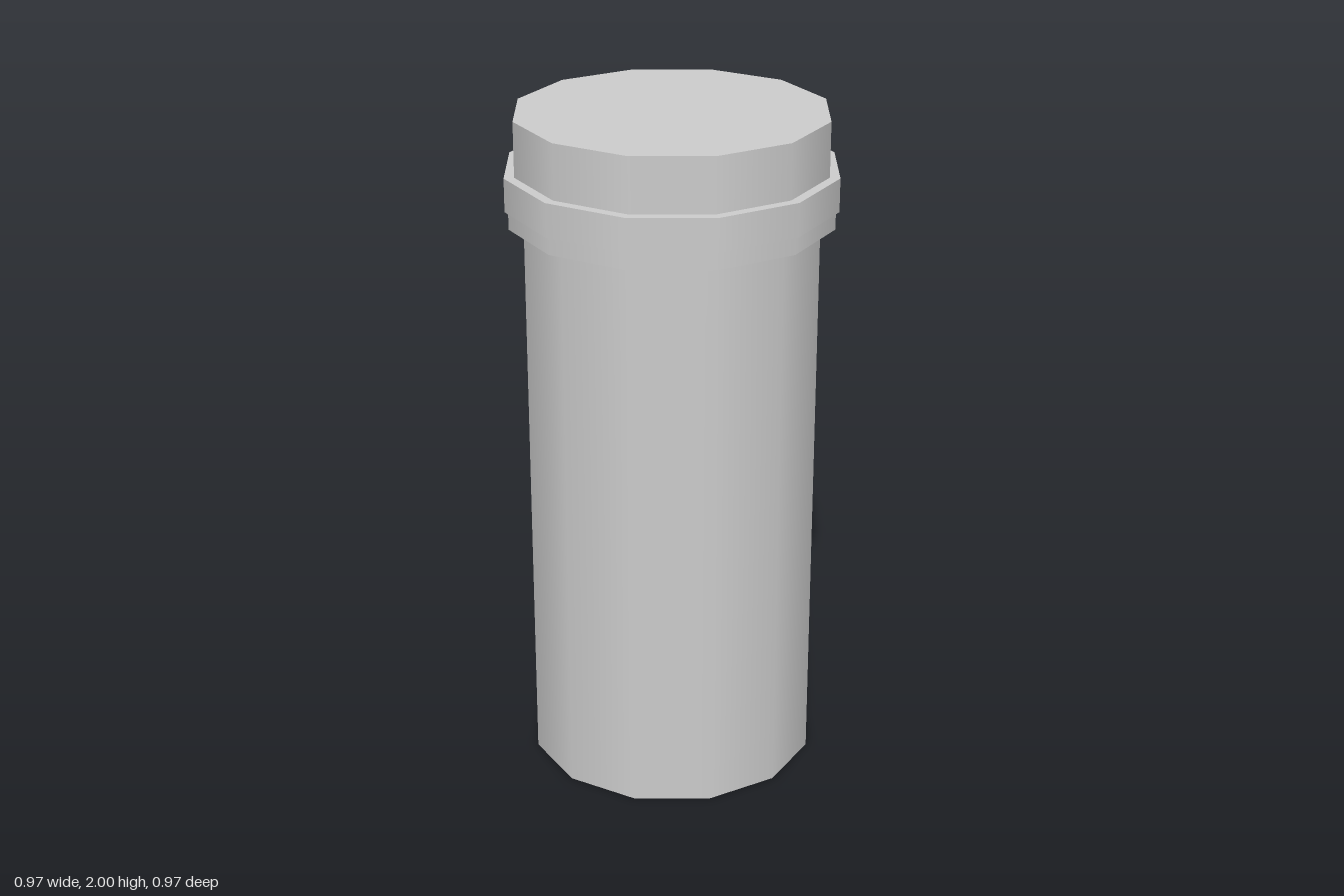
import * as THREE from 'three';

const SIDES = 12;

export function createModel() {
  const model = new THREE.Group();
  const material = new THREE.MeshStandardMaterial({ color: 0xcccccc });

  // Closed twelve-sided drum between two heights
  function addDrum(name, radius, bottom, top) {
    const geometry = new THREE.CylinderGeometry(radius, radius, top - bottom, SIDES);
    const mesh = new THREE.Mesh(geometry, material);
    mesh.name = name;
    mesh.position.y = (bottom + top) / 2;
    model.add(mesh);
  }

  addDrum('body', 0.431, 0, 1.69);
  // Stepped collar under the cap
  addDrum('collarLip', 0.474, 1.69, 1.742);
  addDrum('collarRing', 0.484, 1.742, 1.84);
  addDrum('cap', 0.454, 1.84, 2);

  return model;
}
